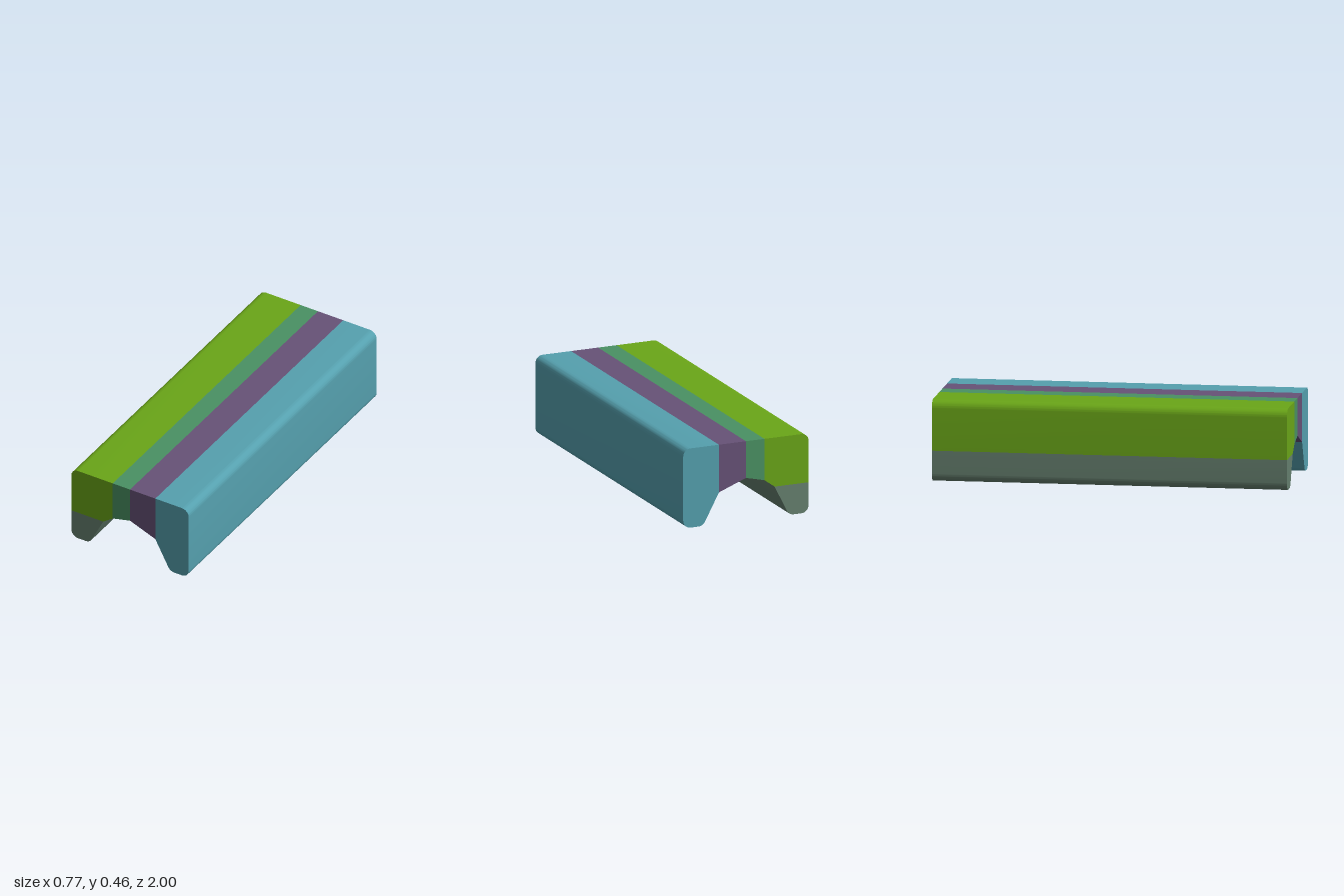
import * as THREE from 'three';
import { toCreasedNormals } from 'three/addons/utils/BufferGeometryUtils.js';

const LENGTH = 2;
const R = 0.045; // radius of the rounded edges

// Counter-clockwise outline from [x, y, radius] corners, filleted where a radius is given
function outline(corners) {
  const points = [];
  corners.forEach(([x, y, r], i) => {
    const p = new THREE.Vector2(x, y);
    if (!r) return points.push(p);
    const n = corners.length;
    const a = new THREE.Vector2(...corners[(i + n - 1) % n].slice(0, 2)).sub(p).normalize();
    const b = new THREE.Vector2(...corners[(i + 1) % n].slice(0, 2)).sub(p).normalize();
    const half = Math.acos(a.dot(b)) / 2;
    const centre = a.clone().add(b).normalize().multiplyScalar(r / Math.sin(half)).add(p);
    const turn = Math.PI - 2 * half;
    const start = a.clone().multiplyScalar(r / Math.tan(half)).add(p).sub(centre).angle();
    for (let k = 0; k <= 12; k++) {
      const t = start + (turn * k) / 12;
      points.push(new THREE.Vector2(centre.x + r * Math.cos(t), centre.y + r * Math.sin(t)));
    }
  });
  return new THREE.Shape(points);
}

// Section of the beam, running the full length along z
function section(name, color, corners) {
  const extruded = new THREE.ExtrudeGeometry(outline(corners), { depth: LENGTH, bevelEnabled: false });
  extruded.translate(0, 0, -LENGTH / 2);
  const mesh = new THREE.Mesh(toCreasedNormals(extruded, 0.4), new THREE.MeshStandardMaterial({ color }));
  mesh.name = name;
  return mesh;
}

export function createModel() {
  const model = new THREE.Group();
  model.name = 'channelBeam';
  const side = 0.383, top = 0.46;

  model.add(
    // Lower part of the right leg
    section('rightFoot', 0x66806f, [
      [-side, 0, R], [-0.2625, 0, R], [-0.175, 0.175], [-side, 0.175],
    ]),
    // Right shoulder above the foot
    section('rightShoulder', 0x6aa618, [
      [-side, 0.175], [-0.175, 0.175], [-0.113, 0.22], [-0.113, top], [-side, top, R],
    ]),
    // Two bridge strips meeting at the peak of the arch
    section('rightBridge', 0x4a9163, [
      [-0.113, 0.22], [0, 0.247], [0, top], [-0.113, top],
    ]),
    section('leftBridge', 0x675277, [
      [0, 0.247], [0.165, 0.183], [0.165, top], [0, top],
    ]),
    // Full-height left leg
    section('leftLeg', 0x55a0ae, [
      [0.165, 0.183], [0.2625, 0, R], [side, 0, R], [side, top, R], [0.165, top],
    ]),
  );
  return model;
}
